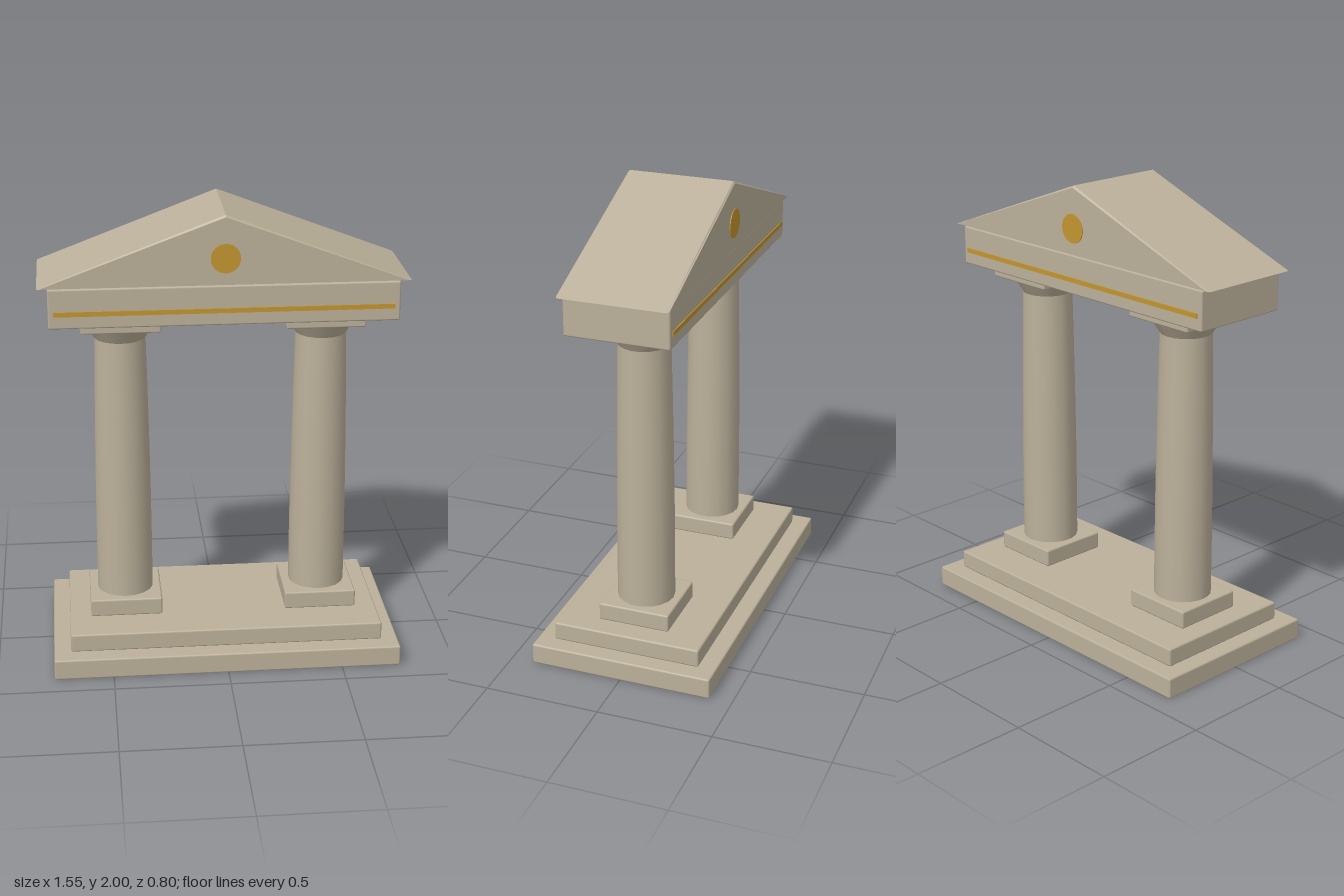
import * as THREE from 'three';
import { RoundedBoxGeometry } from 'three/addons/geometries/RoundedBoxGeometry.js';

export function createModel() {
  const model = new THREE.Group();
  model.name = 'templePortal';

  const stone = new THREE.MeshStandardMaterial({ color: 0xbbb09a });
  stone.name = 'stone';
  const gold = new THREE.MeshStandardMaterial({ color: 0xc2952f });
  gold.name = 'gold';

  function add(parent, name, geometry, material, x = 0, y = 0, z = 0) {
    const mesh = new THREE.Mesh(geometry, material);
    mesh.name = name;
    mesh.position.set(x, y, z);
    parent.add(mesh);
    return mesh;
  }

  // Stone block with softened edges, resting between two heights
  function block(parent, name, width, y0, y1, depth) {
    const geometry = new RoundedBoxGeometry(width, y1 - y0, depth, 1, 0.008);
    return add(parent, name, geometry, stone, 0, (y0 + y1) / 2);
  }

  // Stepped base
  block(model, 'lowerStep', 1.512, 0, 0.092, 0.804);
  block(model, 'upperStep', 1.364, 0.092, 0.173, 0.654);

  // Columns: plinth, gently swelling shaft, flared capital and square abacus
  const shaftProfile = [
    [0.124, 0.25], [0.1235, 0.484], [0.122, 0.718],
    [0.119, 0.952], [0.115, 1.186], [0.11, 1.425],
  ].map(([r, y]) => new THREE.Vector2(r, y));
  const SIDES = 18;

  for (const side of [-1, 1]) {
    const column = new THREE.Group();
    column.name = side > 0 ? 'leftColumn' : 'rightColumn';
    column.position.x = side * 0.431;
    block(column, 'plinth', 0.316, 0.173, 0.252, 0.316);
    add(column, 'shaft', new THREE.LatheGeometry(shaftProfile, SIDES), stone);
    add(column, 'capital', new THREE.CylinderGeometry(0.15, 0.11, 0.065, SIDES), stone, 0, 1.4575);
    block(column, 'abacus', 0.336, 1.487, 1.532, 0.336);
    model.add(column);
  }

  // Entablature beam
  block(model, 'entablature', 1.462, 1.532, 1.702, 0.45);

  // Pediment: gabled prism with thin chamfers on the front and back edges
  const gable = new THREE.Shape();
  gable.moveTo(-0.774, 1.706);
  gable.lineTo(0.774, 1.706);
  gable.lineTo(0, 2);
  gable.closePath();
  const pediment = new THREE.ExtrudeGeometry(gable, {
    depth: 0.454,
    bevelEnabled: true,
    bevelThickness: 0.008,
    bevelSize: 0.008,
    bevelOffset: -0.008,
    bevelSegments: 1,
  });
  add(model, 'pediment', pediment, stone, 0, 0, -0.227);

  // Gold band and medallion on front and back
  for (const face of [1, -1]) {
    const label = face > 0 ? 'front' : 'back';
    add(model, label + 'Band', new THREE.BoxGeometry(1.416, 0.02, 0.006), gold, 0, 1.596, face * 0.226);
    const disc = add(model, label + 'Medallion', new THREE.CylinderGeometry(0.062, 0.062, 0.006, 24), gold, 0, 1.82, face * 0.2355);
    disc.rotation.x = Math.PI / 2;
  }

  return model;
}
